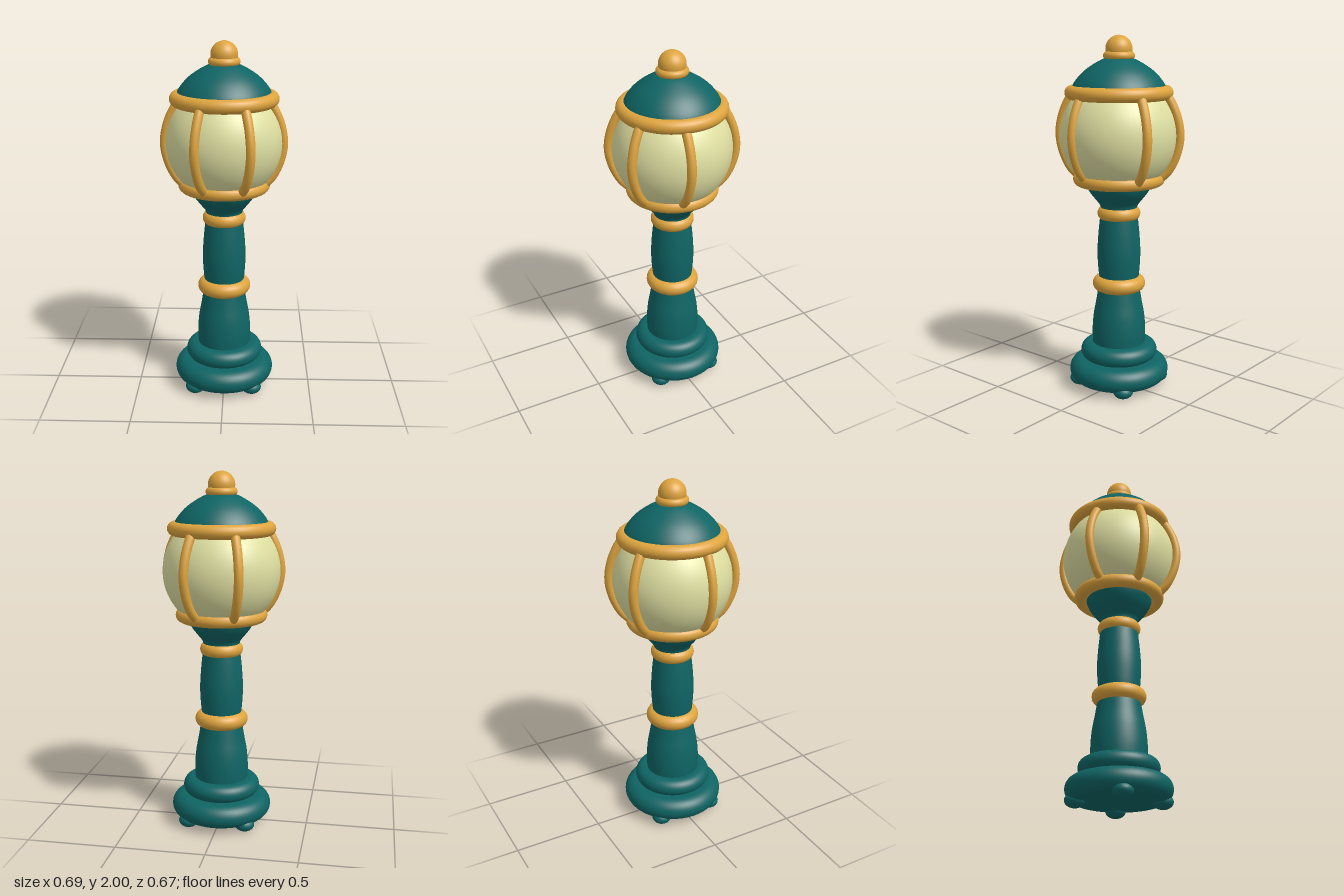
import * as THREE from 'three';

export function createModel() {
  const group = new THREE.Group();
  const material = (name, color) => {
    const m = new THREE.MeshStandardMaterial({ color });
    m.name = name;
    return m;
  };
  const teal = material('teal paint', 0x0f6464);
  const gold = material('gold trim', 0xdea43e);
  const cream = material('cream glass', 0xdfdfa2);

  const add = (name, geometry, mat, x = 0, y = 0, z = 0) => {
    const mesh = new THREE.Mesh(geometry, mat);
    mesh.name = name;
    mesh.position.set(x, y, z);
    group.add(mesh);
    return mesh;
  };

  // Smooth lathe through a few [radius, height] points, listed bottom to top
  const turned = (name, points, mat) => {
    const curve = new THREE.CatmullRomCurve3(points.map(([r, y]) => new THREE.Vector3(r, y, 0)));
    const profile = curve.getPoints(32).map((p) => new THREE.Vector2(Math.max(p.x, 0), p.y));
    return add(name, new THREE.LatheGeometry(profile, 64), mat);
  };

  // Horizontal ring given by its outer radius and tube radius
  const ring = (name, y, outer, tube) => {
    const geometry = new THREE.TorusGeometry(outer - tube, tube, 20, 72);
    geometry.rotateX(Math.PI / 2);
    return add(name, geometry, gold, 0, y, 0);
  };

  // Disc with a fully rounded rim
  const roundedDisc = (name, y, outer, half) => {
    const profile = [new THREE.Vector2(0, -half)];
    for (let i = 0; i <= 16; i++) {
      const a = -Math.PI / 2 + (Math.PI * i) / 16;
      profile.push(new THREE.Vector2(outer - half + half * Math.cos(a), half * Math.sin(a)));
    }
    profile.push(new THREE.Vector2(0, half));
    return add(name, new THREE.LatheGeometry(profile, 64), teal, 0, y, 0);
  };

  // Stepped base on four flattened feet
  roundedDisc('lowerBase', 0.098, 0.285, 0.066);
  roundedDisc('upperBase', 0.212, 0.219, 0.05);
  for (const x of [-1, 1]) {
    for (const z of [-1, 1]) {
      const foot = add('foot', new THREE.SphereGeometry(0.056, 24, 16), teal, x * 0.162, 0.04, z * 0.162);
      foot.scale.y = 0.04 / 0.056;
    }
  }

  // Post in two tapered sections with collars
  turned('lowerPost', [[0.148, 0.22], [0.153, 0.32], [0.146, 0.42], [0.13, 0.51], [0.114, 0.61]], teal);
  ring('middleCollar', 0.612, 0.15, 0.044);
  turned('upperPost', [[0.108, 0.61], [0.117, 0.69], [0.122, 0.79], [0.117, 0.89], [0.104, 1.02]], teal);
  ring('upperCollar', 1.02, 0.121, 0.041);
  turned('lanternCup', [[0.1, 1.02], [0.106, 1.065], [0.132, 1.1], [0.166, 1.145], [0.186, 1.19], [0.19, 1.225]], teal);

  // Glass globe between two rings
  add('globe', new THREE.SphereGeometry(0.325, 64, 40), cream, 0, 1.46, 0);
  ring('lowerLanternRing', 1.216, 0.256, 0.037);
  ring('upperLanternRing', 1.693, 0.298, 0.038);

  // Curved ribs: [x, z] at the widest point and [x, z] of the inward slope
  const ribProfile = [[0.112, 1.22], [0.062, 1.27], [0.018, 1.36], [0, 1.46], [0.016, 1.56], [0.052, 1.645], [0.082, 1.69]];
  const rib = (x, z, dx, dz) => {
    const path = new THREE.CatmullRomCurve3(
      ribProfile.map(([inset, y]) => new THREE.Vector3(x - dx * inset, y, z - dz * inset)));
    add('rib', new THREE.TubeGeometry(path, 40, 0.025, 14), gold);
  };
  for (const side of [-1, 1]) {
    rib(side * 0.322, 0.058, side, 0);
    for (const end of [-1, 1]) rib(side * 0.146, end * 0.309, side * 0.42, end * 0.9);
  }

  // Domed roof and finial
  turned('roof', [[0.262, 1.69], [0.254, 1.73], [0.203, 1.797], [0.13, 1.85], [0.07, 1.878], [0, 1.89]], teal);
  ring('finialRing', 1.89, 0.087, 0.023);
  add('finialBall', new THREE.SphereGeometry(0.074, 32, 24), gold, 0, 1.926, 0);

  return group;
}
